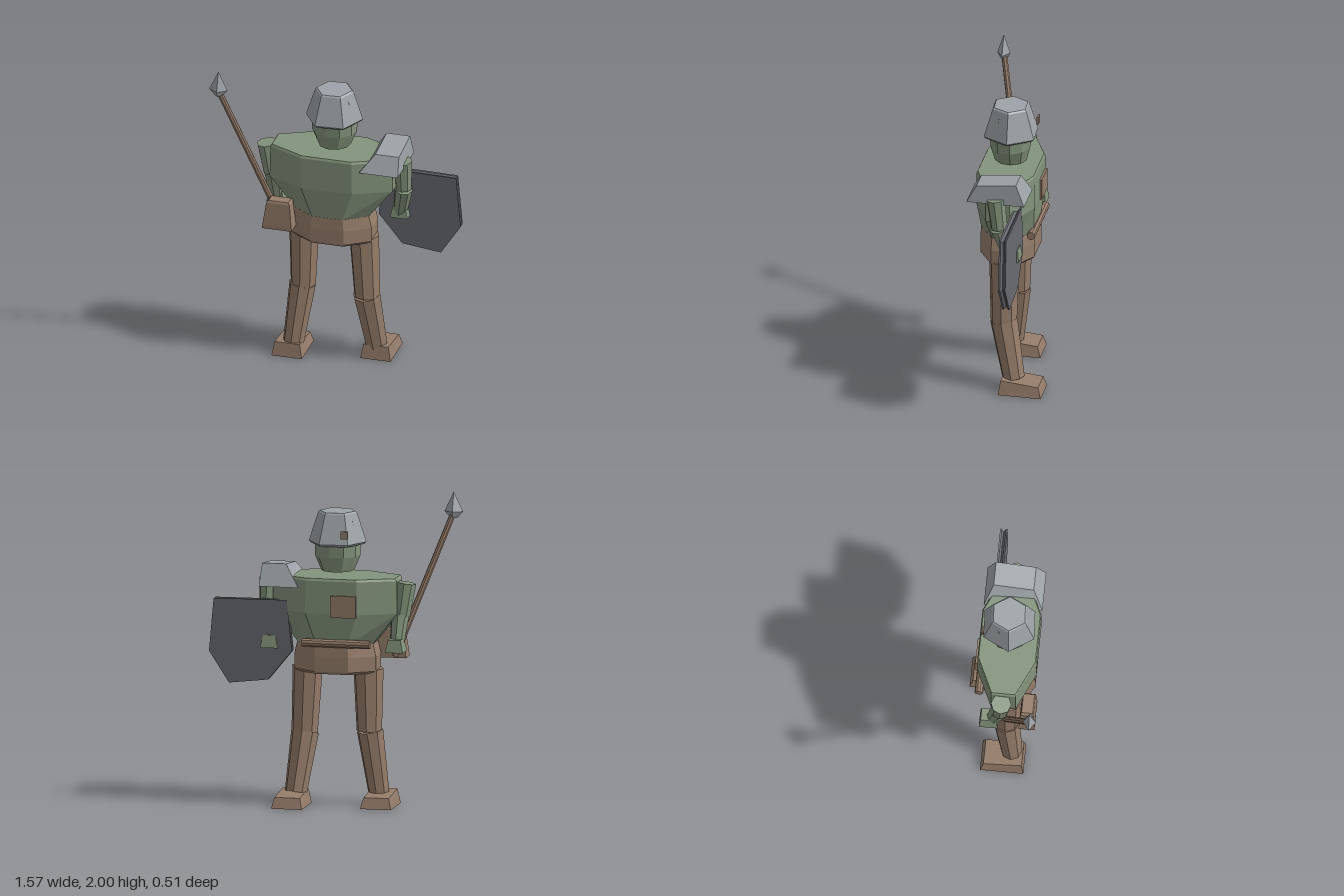
import * as THREE from 'three';

const paint = (name, color) => Object.assign(new THREE.MeshStandardMaterial({ color }), { name });

// Flat-faced skin over a stack of equal-length cross-sections, capped at both ends.
function loft(rings) {
  const pos = [];
  const n = rings[0].length;
  const tri = (...pts) => pts.forEach((p) => pos.push(...p));
  const middle = (ring) => [0, 1, 2].map((k) => ring.reduce((s, p) => s + p[k], 0) / n);
  const first = rings[0], last = rings[rings.length - 1];
  for (let i = 0; i < n; i++) {
    const j = (i + 1) % n;
    for (let r = 0; r + 1 < rings.length; r++) {
      const a = rings[r], b = rings[r + 1];
      tri(a[i], a[j], b[j]);
      tri(a[i], b[j], b[i]);
    }
    tri(middle(first), first[j], first[i]);
    tri(middle(last), last[i], last[j]);
  }
  const geo = new THREE.BufferGeometry();
  geo.setAttribute('position', new THREE.Float32BufferAttribute(pos, 3));
  geo.computeVertexNormals();
  return geo;
}

// Upright many-sided body; each level is [y, radiusX, radiusZ].
function turned(sides, levels, phase = 0) {
  return loft(levels.map(([y, rx, rz]) => Array.from({ length: sides }, (_, i) => {
    const a = phase + (i / sides) * Math.PI * 2;
    return [Math.cos(a) * rx, y, -Math.sin(a) * rz];
  })));
}

// Tapered block; each level is [y, x0, x1, z0, z1, optional height offset at the back].
function block(...levels) {
  return loft(levels.map(([y, x0, x1, z0, z1, back = 0]) => [
    [x1, y, z1], [x1, y + back, z0], [x0, y + back, z0], [x0, y, z1],
  ]));
}

export function createModel() {
  const model = new THREE.Group();
  model.name = 'guard';
  const green = paint('mossGreen', 0x84947c);
  const brown = paint('leatherBrown', 0x967d6a);
  const steel = paint('steelGrey', 0x9da3a8);
  const iron = paint('darkIron', 0x686a71);

  const add = (name, geo, mat, x = 0, y = 0, z = 0) => {
    const mesh = new THREE.Mesh(geo, mat);
    mesh.name = name;
    mesh.position.set(x, y, z);
    model.add(mesh);
    return mesh;
  };

  // Straight tapered limb from point a to point b.
  const limb = (name, mat, a, b, ra, rb, sides = 8) => {
    const from = new THREE.Vector3(...a), to = new THREE.Vector3(...b);
    const dir = to.clone().sub(from);
    const geo = new THREE.CylinderGeometry(rb, ra, dir.length(), sides).toNonIndexed();
    geo.computeVertexNormals();
    const mesh = add(name, geo, mat);
    mesh.position.copy(from).add(to).multiplyScalar(0.5);
    mesh.quaternion.setFromUnitVectors(new THREE.Vector3(0, 1, 0), dir.normalize());
  };

  // Octagonal torso and waist: flats face the axes, so widen by the corner factor
  const k = 1 / Math.cos(Math.PI / 8);
  const octagon = (levels) => turned(8, levels.map(([y, rx, rz]) => [y, rx * k, rz * k]), Math.PI / 8);
  add('torso', octagon([
    [1.05, 0.245, 0.17], [1.25, 0.405, 0.187], [1.46, 0.4, 0.187], [1.475, 0.39, 0.18],
  ]), green, -0.02, 0, 0.02);
  add('waist', octagon([
    [0.86, 0.25, 0.165], [0.875, 0.265, 0.175], [0.97, 0.265, 0.175], [1.05, 0.246, 0.171],
  ]), brown, -0.02, 0, 0.02);

  // Head edges press slightly through the flat sides of the helmet
  add('head', turned(10, [
    [1.505, 0.105, 0.105], [1.6, 0.145, 0.13], [1.73, 0.146, 0.144],
    [1.83, 0.123, 0.121], [1.86, 0.07, 0.07],
  ], 0.16), green, -0.02, 0, 0.02);
  add('helmet', turned(6, [
    [1.675, 0.17, 0.17], [1.69, 0.185, 0.185], [1.875, 0.125, 0.125], [1.885, 0.115, 0.115],
  ], 0.06), steel, -0.02, 0, 0.02);
  add('helmetTag', new THREE.BoxGeometry(0.045, 0.05, 0.012), brown, -0.1, 1.755, -0.14);

  // Shoulder plate on the left side only
  add('shoulderPlate', block(
    [1.41, 0.195, 0.45, -0.165, 0.208],
    [1.525, 0.285, 0.44, -0.11, 0.145, 0.027],
  ), steel);

  // Arms
  limb('leftUpperArm', green, [0.43, 1.235, 0], [0.428, 1.44, 0.022], 0.052, 0.062);
  limb('leftForearm', green, [0.39, 1.04, -0.055], [0.43, 1.235, 0], 0.045, 0.06);
  limb('rightUpperArm', green, [-0.44, 1.235, 0], [-0.468, 1.44, 0.012], 0.055, 0.065);
  limb('rightForearm', green, [-0.42, 1.05, -0.045], [-0.43, 1.235, 0], 0.045, 0.06);
  for (const [name, x] of [['leftHand', 0.393], ['rightHand', -0.42]]) {
    add(name, block(
      [1.01, x - 0.058, x + 0.058, -0.13, -0.01],
      [1.09, x - 0.04, x + 0.04, -0.12, -0.02],
    ), green);
  }

  // Legs and feet
  limb('leftThigh', brown, [0.195, 0.455, 0.02], [0.175, 0.88, 0.02], 0.085, 0.098);
  limb('leftShin', brown, [0.235, 0.08, -0.052], [0.192, 0.46, 0.02], 0.072, 0.09);
  limb('rightThigh', brown, [-0.225, 0.48, 0.022], [-0.22, 0.88, 0.02], 0.082, 0.098);
  limb('rightShin', brown, [-0.278, 0.08, 0.06], [-0.23, 0.48, 0.022], 0.068, 0.086);
  for (const [name, x, heel] of [['leftFoot', 0.25, 0.025], ['rightFoot', -0.3, 0.145]]) {
    add(name, block(
      [0, x - 0.1, x + 0.1, heel - 0.275, heel],
      [0.095, x - 0.082, x + 0.082, heel - 0.255, heel - 0.012, -0.025],
    ), brown);
  }

  // Gear on the back and hip
  add('backPatch', new THREE.BoxGeometry(0.165, 0.14, 0.014), brown, -0.1, 1.3, -0.174);
  limb('bedroll', brown, [-0.27, 1.06, -0.15], [0.17, 1.06, -0.15], 0.027, 0.027, 10);
  add('hipPouch', block(
    [0.935, -0.44, -0.245, 0.12, 0.22],
    [0.965, -0.437, -0.248, 0.12, 0.22],
    [1.115, -0.415, -0.262, 0.128, 0.212],
    [1.13, -0.4, -0.272, 0.135, 0.205],
  ), brown);

  // Spear
  limb('spearShaft', brown, [-0.39, 0.96, 0.03], [-0.72, 1.85, 0.212], 0.021, 0.019, 8);
  add('spearHead', turned(4, [
    [1.835, 0.024, 0.024], [1.875, 0.06, 0.042], [2, 0.001, 0.001],
  ]), steel, -0.728, 0, 0.217);

  // Shield with a notched rim
  const outline = [
    [0.245, 0.995], [0.4, 0.805], [0.655, 0.775], [0.785, 0.975], [0.755, 1.315], [0.28, 1.32],
  ];
  const shieldRing = (z, s) => outline.map(([x, y]) => [0.52 + (x - 0.52) * s, 1.04 + (y - 1.04) * s, z]);
  add('shield', loft([
    shieldRing(-0.115, 1), shieldRing(-0.105, 0.99), shieldRing(-0.092, 0.93),
    shieldRing(-0.079, 0.99), shieldRing(-0.069, 1),
  ]), iron);

  return model;
}
